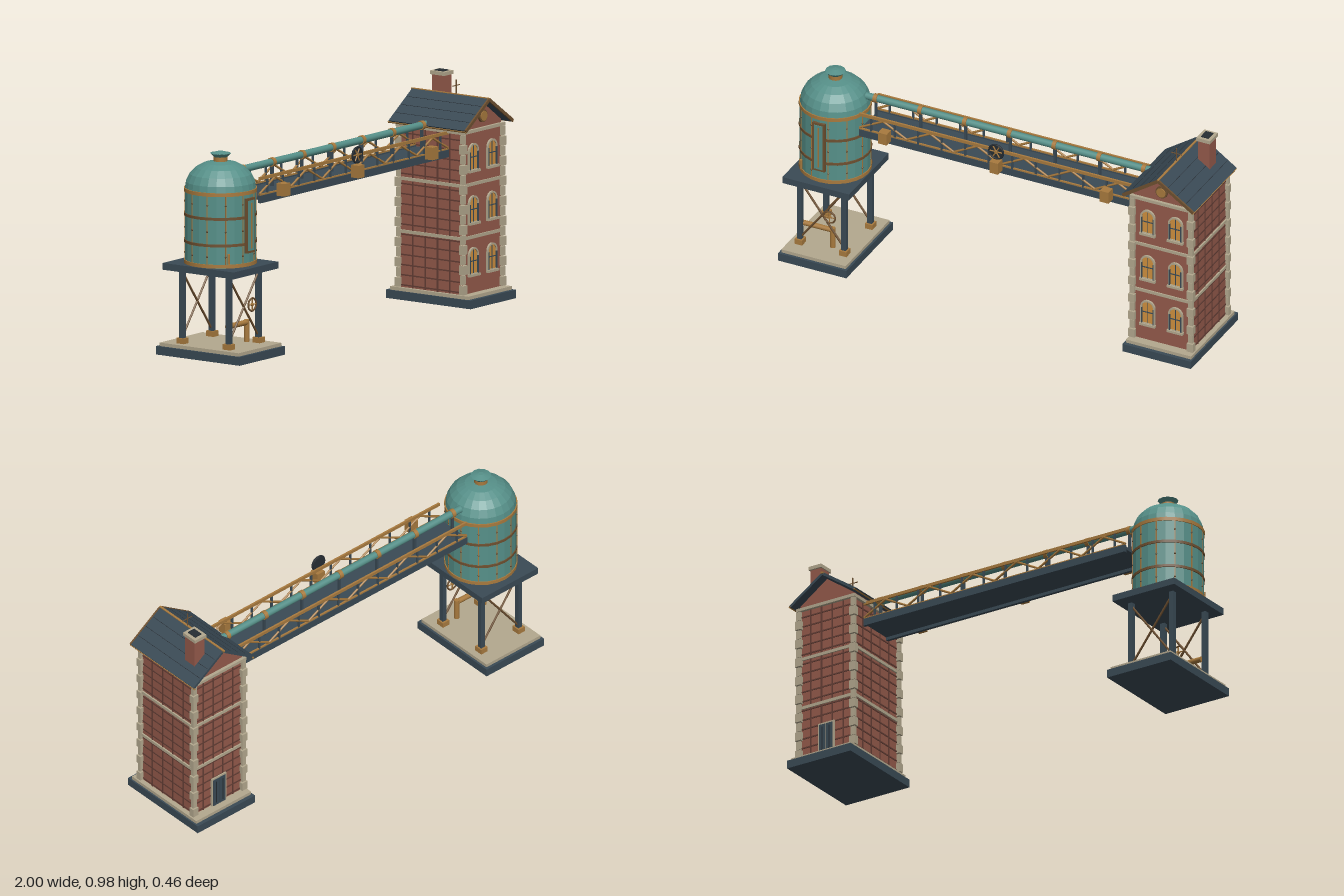
import * as THREE from 'three';

const mat = (name, color) => {
  const m = new THREE.MeshStandardMaterial({ color });
  m.name = name;
  return m;
};
const M = {
  slate: mat('slate blue', 0x3a4a55), teal: mat('verdigris', 0x569089), brick: mat('brick', 0x945a4b),
  mortar: mat('dark mortar', 0x643e35), stone: mat('stone', 0xb3a88e), brass: mat('brass', 0xa87a3e),
  bronze: mat('dark bronze', 0x6e5030), glass: mat('amber glass', 0xd0913f), iron: mat('iron', 0x262d33),
};

const add = (p, name, geo, m, x = 0, y = 0, z = 0) => {
  const mesh = new THREE.Mesh(geo, m);
  mesh.name = name;
  mesh.position.set(x, y, z);
  p.add(mesh);
  return mesh;
};
const box = (p, name, m, w, h, d, x, y, z) => add(p, name, new THREE.BoxGeometry(w, h, d), m, x, y, z);
// box given by its bottom and top heights
const slab = (p, name, m, w, d, y0, y1, x = 0, z = 0) => box(p, name, m, w, y1 - y0, d, x, (y0 + y1) / 2, z);
const cyl = (p, name, m, r0, r1, h, n, x, y, z) => add(p, name, new THREE.CylinderGeometry(r1, r0, h, n), m, x, y, z);
const rod = (p, name, m, a, b, r, n = 6) => {
  const A = new THREE.Vector3(...a), B = new THREE.Vector3(...b), d = B.clone().sub(A);
  const mesh = cyl(p, name, m, r, r, d.length(), n, 0, 0, 0);
  mesh.position.copy(A).add(B).multiplyScalar(0.5);
  mesh.quaternion.setFromUnitVectors(new THREE.Vector3(0, 1, 0), d.normalize());
  return mesh;
};
const flat = (g) => {
  const f = g.toNonIndexed();
  f.computeVertexNormals();
  return f;
};
const handWheel = (p, name, r, m, bars, x, y, z) => {
  const g = new THREE.Group();
  g.name = name;
  g.position.set(x, y, z);
  p.add(g);
  add(g, 'wheelRim', new THREE.TorusGeometry(r, r * 0.14, 6, 20), m);
  for (let i = 0; i < bars; i++) {
    const a = (i * Math.PI) / bars, c = Math.cos(a) * r, s = Math.sin(a) * r;
    rod(g, 'wheelSpoke', M.brass, [-c, -s, 0], [c, s, 0], r * 0.09);
  }
  rod(g, 'wheelHub', M.brass, [0, 0, -0.006], [0, 0, 0.006], r * 0.22, 8);
};
const group = (p, name, x = 0, y = 0, z = 0) => {
  const g = new THREE.Group();
  g.name = name;
  g.position.set(x, y, z);
  p.add(g);
  return g;
};

function waterTank(root) {
  const t = group(root, 'waterTank', -0.833);
  slab(t, 'tankBase', M.slate, 0.33, 0.45, 0, 0.037);
  slab(t, 'tankBaseSlab', M.stone, 0.31, 0.425, 0.037, 0.052);
  slab(t, 'tankPlatform', M.slate, 0.322, 0.382, 0.375, 0.405);

  // legs and cross braces
  const lx = 0.107, lz = 0.125;
  for (const sx of [-1, 1]) for (const sz of [-1, 1]) {
    slab(t, 'leg', M.slate, 0.022, 0.022, 0.06, 0.375, sx * lx, sz * lz);
    slab(t, 'legFoot', M.brass, 0.036, 0.04, 0.052, 0.076, sx * lx, sz * lz);
  }
  for (const s of [-1, 1]) for (const k of [-1, 1])
    rod(t, 'crossBrace', M.bronze, [-k * lx, 0.08, s * lz], [k * lx, 0.365, s * lz], 0.005);
  // drain pipe with valve wheel
  rod(t, 'drainPipe', M.brass, [-0.1, 0.148, 0.11], [0.042, 0.148, 0.11], 0.012, 10);
  rod(t, 'drainOutlet', M.brass, [0.042, 0.16, 0.11], [0.042, 0.063, 0.11], 0.012, 10);
  handWheel(t, 'valveWheel', 0.028, M.bronze, 2, 0.041, 0.229, 0.14);

  // shell, dome and vent
  const n = 24, R = 0.155;
  const pts = [[R, 0.405], [R, 0.728], [0.15, 0.762], [0.134, 0.796], [0.106, 0.824], [0.07, 0.843], [0.03, 0.85], [0, 0.851]];
  add(t, 'tankShell', flat(new THREE.LatheGeometry(pts.map((p) => new THREE.Vector2(...p)), n)), M.teal);
  for (const y of [0.414, 0.505, 0.622, 0.728]) {
    const thick = y === 0.414 || y === 0.728;
    cyl(t, 'tankBand', thick ? M.brass : M.bronze, R + 0.004, R + 0.004, thick ? 0.016 : 0.012, n, 0, y, 0);
  }
  for (let i = 0; i < 12; i++) {
    const a = ((i + 0.5) * Math.PI) / 6;
    const s = box(t, 'shellSeam', M.brass, 0.004, 0.315, 0.005, Math.sin(a) * R, 0.567, Math.cos(a) * R);
    s.rotation.y = a;
    for (const y of [0.455, 0.565, 0.68]) {
      add(t, 'rivet', new THREE.SphereGeometry(0.005, 6, 4), M.bronze, Math.sin(a) * R, y, Math.cos(a) * R);
    }
  }
  cyl(t, 'ventNeck', M.brass, 0.03, 0.03, 0.03, 12, 0, 0.855, 0);
  cyl(t, 'ventCap', M.teal, 0.028, 0.045, 0.018, 12, 0, 0.876, 0);
  cyl(t, 'ventLid', M.teal, 0.045, 0.012, 0.009, 12, 0, 0.889, 0);

  // level gauge and tap on the front
  slab(t, 'gaugePlate', M.bronze, 0.06, 0.018, 0.465, 0.705, 0, 0.155);
  slab(t, 'gaugeGlass', M.teal, 0.04, 0.006, 0.475, 0.695, 0, 0.164);
  slab(t, 'gaugeColumn', M.brass, 0.006, 0.006, 0.485, 0.685, 0, 0.166);
  rod(t, 'tap', M.brass, [-0.105, 0.425, 0.122], [-0.105, 0.47, 0.122], 0.006);
}

function bridge(root) {
  const b = group(root, 'bridge');
  const x0 = -0.672, x1 = 0.69, L = x1 - x0, cx = (x0 + x1) / 2, n = 12, step = L / n;
  slab(b, 'deck', M.slate, L, 0.18, 0.664, 0.678, cx);
  for (const s of [-1, 1]) {
    const z = s * 0.089;
    slab(b, 'sideGirder', M.slate, L, 0.014, 0.65, 0.683, cx, z);
    slab(b, 'lowerChord', M.brass, L, 0.008, 0.683, 0.689, cx, z);
    slab(b, 'upperChord', M.brass, L, 0.009, 0.75, 0.764, cx, z);
    for (let i = 0; i < n; i++) {
      const x = x0 + i * step, up = i % 2;
      slab(b, 'trussPost', M.slate, 0.008, 0.008, 0.683, 0.75, x + step / 2, z);
      rod(b, 'trussDiagonal', M.brass, [x, up ? 0.75 : 0.69, z], [x + step, up ? 0.69 : 0.75, z], 0.005);
    }
  }
  // water pipe with flanges and stands
  const py = 0.783, pz = -0.022;
  rod(b, 'waterPipe', M.teal, [-0.695, py, pz], [0.7, py, pz], 0.016, 14);
  for (let i = -3; i <= 3; i++) {
    const x = i * 0.216;
    rod(b, 'pipeFlange', M.brass, [x - 0.009, py, pz], [x + 0.009, py, pz], 0.02, 14);
    slab(b, 'pipeStand', M.slate, 0.01, 0.012, 0.678, 0.768, x, pz);
  }
  // brackets on the front and the large wheel
  for (const x of [-0.537, 0, 0.533]) slab(b, 'bracket', M.brass, 0.042, 0.042, 0.667, 0.722, x, 0.118);
  rod(b, 'wheelBacking', M.iron, [0, 0.765, 0.108], [0, 0.765, 0.113], 0.033, 20);
  handWheel(b, 'bridgeWheel', 0.034, M.iron, 3, 0, 0.765, 0.115);
}

const arch = (w, h, y = 0) => {
  const s = new THREE.Shape();
  s.moveTo(-w / 2, y);
  s.lineTo(w / 2, y);
  s.lineTo(w / 2, y + h - w / 2);
  s.absarc(0, y + h - w / 2, w / 2, 0, Math.PI, false);
  s.closePath();
  return s;
};
const extrude = (s, depth) => new THREE.ExtrudeGeometry(s, { depth, bevelEnabled: false, curveSegments: 8 });

function tower(root) {
  const t = group(root, 'tower', 0.828);
  const hx = 0.138, hz = 0.168;
  slab(t, 'towerBase', M.slate, 0.33, 0.455, 0, 0.037, 0.003);
  slab(t, 'towerPlinth', M.stone, 0.315, 0.42, 0.037, 0.052, 0.003);
  const body = new THREE.Shape([[-hx, 0.05], [hx, 0.05], [hx, 0.785], [0, 0.882], [-hx, 0.785]].map((p) => new THREE.Vector2(...p)));
  add(t, 'brickBody', extrude(body, hz * 2), M.brick, 0, 0, -hz);

  // corner stones and courses
  for (let i = 0; i < 16; i++) {
    const y = 0.055 + i * 0.044, w = i % 2 ? 0.016 : 0.024;
    for (const sx of [-1, 1]) for (const sz of [-1, 1])
      slab(t, 'cornerStone', M.stone, w + 0.006, w, y, y + 0.04, sx * (hx + 0.003), sz * (hz + 0.005));
  }
  for (const y of [0.291, 0.523]) slab(t, 'stringCourse', M.stone, hx * 2 + 0.014, hz * 2 + 0.012, y, y + 0.014);
  slab(t, 'cornice', M.stone, hx * 2 + 0.028, hz * 2 + 0.028, 0.757, 0.771);

  // mortar joints on the sides and back
  for (let i = 0; i < 16; i++) {
    const y = 0.062 + i * 0.0445;
    for (const s of [-1, 1]) box(t, 'bedJoint', M.mortar, 0.006, 0.006, hz * 2 - 0.01, s * hx, y, 0);
    box(t, 'bedJoint', M.mortar, hx * 2 - 0.01, 0.006, 0.006, 0, y, -hz);
  }
  for (const k of [-1.5, -0.5, 0.5, 1.5]) {
    for (const s of [-1, 1]) slab(t, 'headJoint', M.mortar, 0.006, 0.006, 0.052, 0.757, s * hx, k * 0.067);
    slab(t, 'headJoint', M.mortar, 0.006, 0.006, 0.052, 0.757, k * 0.056, -hz);
  }

  // arched windows
  for (const y of [0.135, 0.362, 0.592]) for (const x of [-0.067, 0.067]) {
    const w = group(t, 'window', x, y, hz);
    const frame = arch(0.07, 0.118);
    frame.holes.push(arch(0.054, 0.106, 0.004));
    add(w, 'windowArch', extrude(frame, 0.009), M.stone);
    add(w, 'windowGlass', extrude(arch(0.056, 0.111), 0.004), M.glass);
    slab(w, 'mullion', M.slate, 0.003, 0.003, 0.004, 0.108, 0, 0.005);
    for (const s of [-1, 1]) slab(w, 'windowJamb', M.slate, 0.005, 0.012, 0, 0.08, s * 0.028, 0.005);
    slab(w, 'transom', M.slate, 0.06, 0.006, 0.056, 0.06, 0, 0.004);
    slab(w, 'windowSill', M.stone, 0.076, 0.02, -0.009, 0.002, 0, 0.006);
  }
  // back door
  slab(t, 'doorFrame', M.stone, 0.084, 0.012, 0.052, 0.198, 0, -hz - 0.003);
  for (const s of [-1, 1]) {
    slab(t, 'doorLeaf', M.slate, 0.033, 0.008, 0.052, 0.19, s * 0.018, -hz - 0.008);
    slab(t, 'doorPanel', M.iron, 0.004, 0.003, 0.065, 0.178, s * 0.018, -hz - 0.012);
  }
  // gable roundel
  rod(t, 'roundelRim', M.bronze, [0, 0.82, hz], [0, 0.82, hz + 0.01], 0.028, 20);
  rod(t, 'roundelDisc', M.brass, [0, 0.82, hz], [0, 0.82, hz + 0.014], 0.022, 20);

  // roof slopes with slate lines and trim
  const rise = 0.116, run = 0.17, len = Math.hypot(rise, run), ang = Math.atan2(rise, run);
  for (const s of [-1, 1]) {
    const slope = group(t, 'roofSlope', (s * run) / 2, 0.778 + rise / 2, 0);
    slope.rotation.z = -s * ang;
    box(slope, 'roofSlates', M.slate, len, 0.012, 0.41, 0, 0, 0);
    for (const k of [-0.25, 0, 0.25]) box(slope, 'slateLine', M.iron, 0.002, 0.001, 0.4, k * len, 0.0062, 0);
    box(slope, 'vergeBoard', M.bronze, len, 0.014, 0.008, 0, 0, 0.207);
    box(slope, 'eaveTrim', M.brass, 0.006, 0.006, 0.42, (s * len) / 2, -0.003, 0);
  }
  slab(t, 'ridgeTrim', M.brass, 0.01, 0.42, 0.893, 0.901);
  // finial
  rod(t, 'finialRod', M.bronze, [0, 0.895, 0.03], [0, 0.963, 0.03], 0.003);
  rod(t, 'finialArm', M.bronze, [-0.026, 0.937, 0.03], [0.026, 0.937, 0.03], 0.0022);
  // chimney
  slab(t, 'chimney', M.brick, 0.056, 0.062, 0.8, 0.96, 0.079, -0.107);
  slab(t, 'chimneyCap', M.stone, 0.066, 0.078, 0.96, 0.976, 0.079, -0.107);
  slab(t, 'chimneyFlue', M.iron, 0.036, 0.048, 0.97, 0.98, 0.079, -0.107);
}

export function createModel() {
  const root = new THREE.Group();
  root.name = 'waterTowerBridge';
  waterTank(root);
  bridge(root);
  tower(root);
  return root;
}
